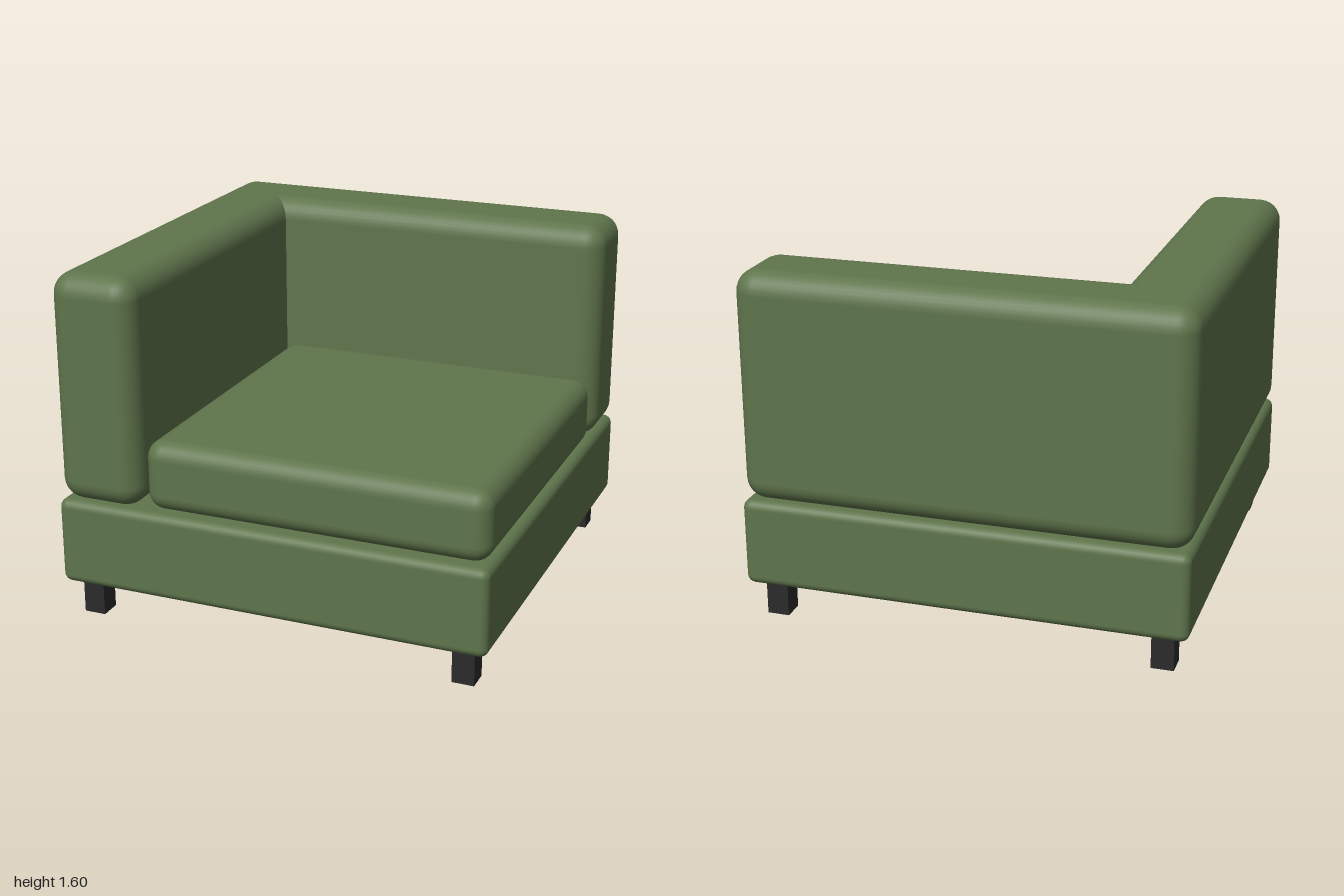
import * as THREE from 'three';
import { RoundedBoxGeometry } from 'three/addons/geometries/RoundedBoxGeometry.js';

export function createModel() {
  const group = new THREE.Group();

  const fabric = new THREE.MeshStandardMaterial({ color: 0x5f754c });
  fabric.name = 'green fabric';
  const legMaterial = new THREE.MeshStandardMaterial({ color: 0x2b2b2b });
  legMaterial.name = 'black legs';

  // Upholstered block given by its low and high corners
  function block(name, [x0, y0, z0], [x1, y1, z1], radius) {
    const geometry = new RoundedBoxGeometry(x1 - x0, y1 - y0, z1 - z0, 4, radius);
    const mesh = new THREE.Mesh(geometry, fabric);
    mesh.name = name;
    mesh.position.set((x0 + x1) / 2, (y0 + y1) / 2, (z0 + z1) / 2);
    group.add(mesh);
  }

  block('base', [-1, 0.165, -1], [1, 0.565, 1], 0.04);
  block('backrest', [-1, 0.56, -1], [1, 1.6, -0.6], 0.1);
  block('armrest', [-1, 0.56, -1], [-0.6, 1.6, 1], 0.1);
  block('seatCushion', [-0.59, 0.56, -0.605], [0.985, 0.88, 0.96], 0.08);

  // Four square legs
  const legGeometry = new THREE.BoxGeometry(0.1, 0.18, 0.1);
  for (const x of [-0.88, 0.88]) {
    for (const z of [-0.88, 0.88]) {
      const leg = new THREE.Mesh(legGeometry, legMaterial);
      leg.name = (z > 0 ? 'front' : 'back') + (x > 0 ? 'Left' : 'Right') + 'Leg';
      leg.position.set(x, 0.09, z);
      group.add(leg);
    }
  }

  return group;
}
